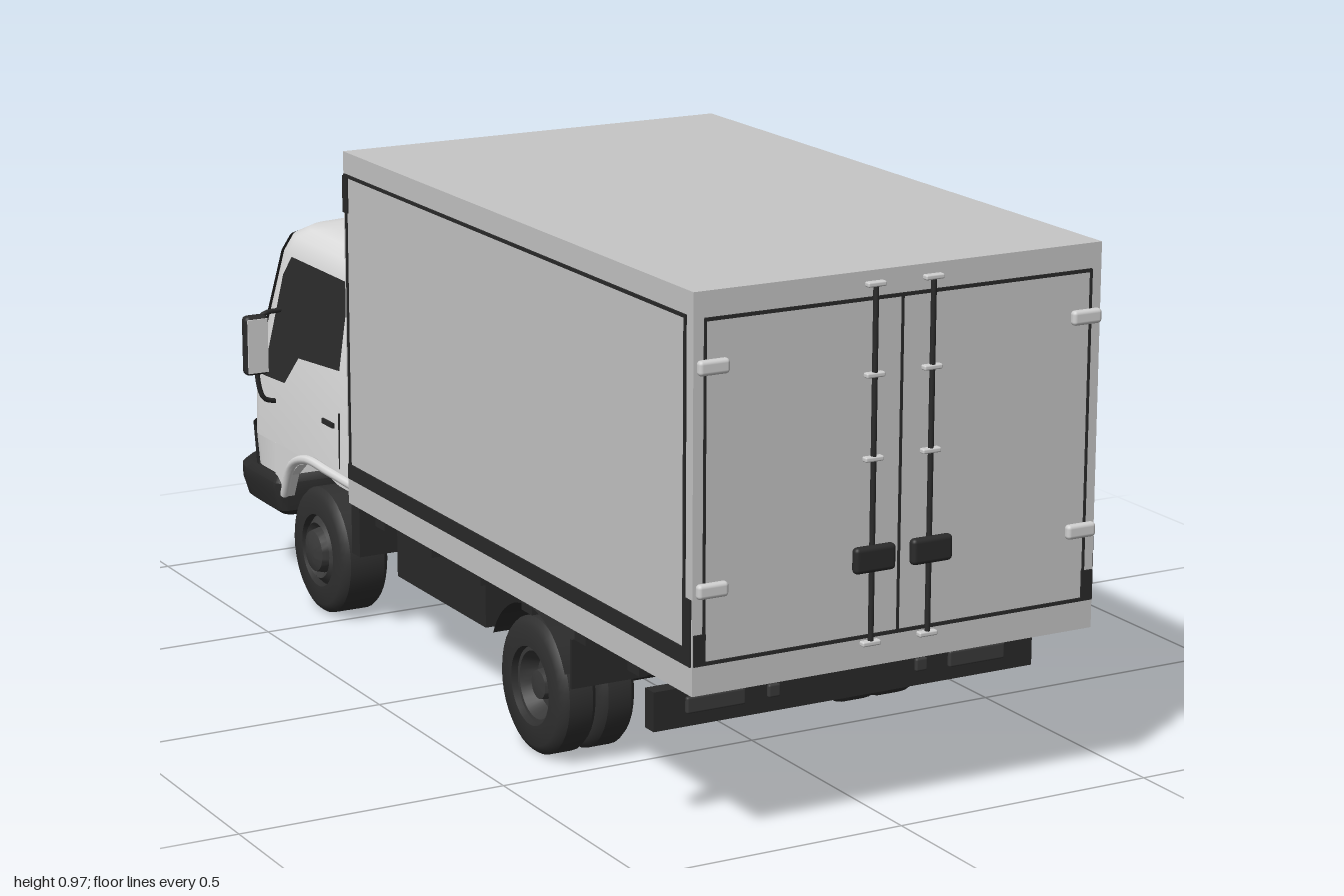
import * as THREE from 'three';
import { toCreasedNormals } from 'three/addons/utils/BufferGeometryUtils.js';
import { RoundedBoxGeometry } from 'three/addons/geometries/RoundedBoxGeometry.js';

const mat = (name, color, side = THREE.FrontSide) => {
  const m = new THREE.MeshStandardMaterial({ color, side });
  m.name = name;
  return m;
};

export function createModel() {
  const root = new THREE.Group();
  root.name = 'boxTruck';
  const cargo = mat('cargoGrey', 0xc6c6c6);
  const paint = mat('cabPaint', 0xdcdcdc, THREE.DoubleSide);
  const glass = mat('darkGlass', 0x2b2b2b, THREE.DoubleSide);
  const dark = mat('darkPlastic', 0x2a2a2a, THREE.DoubleSide);
  const rubber = mat('rubber', 0x303030);
  const hubMat = mat('hubGrey', 0x3a3a3a);
  const metal = mat('paleMetal', 0xd0d0d0);

  const add = (name, geo, material, x = 0, y = 0, z = 0) => {
    const m = new THREE.Mesh(geo, material);
    m.name = name;
    m.position.set(x, y, z);
    root.add(m);
    return m;
  };
  // Box given by its limits on each axis
  const box = (name, material, x0, x1, y0, y1, z0, z1) =>
    add(name, new THREE.BoxGeometry(x1 - x0, y1 - y0, z1 - z0), material, (x0 + x1) / 2, (y0 + y1) / 2, (z0 + z1) / 2);
  const pair = (name, material, x0, x1, ...r) => {
    box(name + 'Left', material, x0, x1, ...r);
    box(name + 'Right', material, -x1, -x0, ...r);
  };
  const tube = (name, material, pts, r) => add(name, new THREE.TubeGeometry(
    new THREE.CatmullRomCurve3(pts.map(p => new THREE.Vector3(...p))), 24, r, 8), material);

  // ---------- Cargo box ----------
  box('cargoBox', cargo, -0.395, 0.395, 0.285, 0.965, -0.345, 0.975);
  for (const s of [-1, 1]) {
    const strip = (name, y0, y1, z0, z1) =>
      box(name, dark, s * 0.395 - 0.003, s * 0.395 + 0.003, y0, y1, z0, z1);
    strip('lowerSideTrim', 0.335, 0.364, -0.34, 0.972);
    strip('upperSideTrim', 0.918, 0.924, -0.34, 0.95);
    strip('rearSideTrim', 0.364, 0.924, 0.947, 0.953);
    strip('rearCornerTrim', 0.364, 0.45, 0.95, 0.972);
    strip('frontSideTrim', 0.364, 0.924, -0.334, -0.329);
    strip('frontCornerTrim', 0.85, 0.92, -0.345, -0.325);
    box('frontFaceTrim', dark, s * 0.372 - 0.012, s * 0.372 + 0.012, 0.4, 0.92, -0.348, -0.342);
  }

  // ---------- Rear doors ----------
  const door = (name, x0, x1, y0, y1) => box(name, dark, x0, x1, y0, y1, 0.972, 0.978);
  door('doorTopGap', -0.375, 0.375, 0.915, 0.921);
  door('doorBottomGap', -0.375, 0.375, 0.336, 0.342);
  door('doorCentreGap', -0.002, 0.002, 0.34, 0.915);
  for (const s of [-1, 1]) {
    door('doorSideGap', s * 0.374 - 0.002, s * 0.374 + 0.002, 0.34, 0.92);
    door('doorCornerGuard', s * 0.382 - 0.011, s * 0.382 + 0.011, 0.336, 0.39);
    add('lockRod', new THREE.CylinderGeometry(0.005, 0.005, 0.62, 10), dark, s * 0.056, 0.635, 0.982);
    for (const y of [0.943, 0.79, 0.647, 0.328])
      add('rodBracket', new RoundedBoxGeometry(0.036, 0.009, 0.014, 2, 0.003), metal, s * 0.056, y, 0.981);
    add('doorHandle', new RoundedBoxGeometry(0.08, 0.046, 0.018, 3, 0.008), dark, s * 0.056, 0.477, 0.988);
    for (const y of [0.84, 0.465])
      add('hinge', new RoundedBoxGeometry(0.058, 0.026, 0.016, 3, 0.007), metal, s * 0.362, y, 0.982);
  }

  // ---------- Cab: lofted from rounded plan sections ----------
  // Section row: [y, half width, front z, back z, front radius, rear radius, bow]
  const section = ([y, w, zf, zb, rf = 0.07, rr = 0.02, bow = 0.025], off = 0) => {
    w += off; zf -= off;
    const half = [[w - rr, zb]];
    for (let i = 1; i <= 4; i++) {
      const a = i / 4 * Math.PI / 2;
      half.push([w - rr + rr * Math.sin(a), zb - rr + rr * Math.cos(a)]);
    }
    for (let i = 0; i <= 6; i++) {
      const a = i / 6 * Math.PI / 2;
      half.push([w - rf + rf * Math.cos(a), zf + bow + rf - rf * Math.sin(a)]);
    }
    for (let i = 5; i >= 1; i--) half.push([(w - rf) * i / 6, zf + bow * (i / 6) ** 2]);
    const other = half.slice().reverse().map(([x, z]) => [-x, z]);
    return [...half, [0, zf], ...other].map(([x, z]) => [x, y, z]);
  };
  // Joins sections; from/to pick an open patch, otherwise closed with caps
  const loft = (rows, off = 0, from = 0, to = 0) => {
    const rings = rows.map(r => section(r, off)), n = rings[0].length, open = to > from;
    const pos = rings.flat(2), idx = [];
    for (let i = 0; i < rings.length - 1; i++)
      for (let j = from; j < (open ? to : n); j++) {
        const a = i * n + j, b = i * n + (j + 1) % n;
        idx.push(a, b, b + n, a, b + n, a + n);
      }
    if (!open) {
      const c = pos.length / 3, top = (rings.length - 1) * n;
      const first = rows[0], last = rows[rows.length - 1];
      pos.push(0, first[0], (first[2] + first[3]) / 2, 0, last[0], (last[2] + last[3]) / 2);
      for (let j = 0; j < n; j++) {
        const k = (j + 1) % n;
        idx.push(c, k, j, c + 1, top + j, top + k);
      }
    }
    const g = new THREE.BufferGeometry();
    g.setAttribute('position', new THREE.Float32BufferAttribute(pos, 3));
    g.setIndex(idx);
    return toCreasedNormals(g, 0.7);
  };
  const cab = [
    [0.30, 0.362, -0.93, -0.375], [0.43, 0.36, -0.925, -0.375], [0.68, 0.325, -0.86, -0.375],
    [0.715, 0.312, -0.843, -0.38], [0.732, 0.29, -0.815, -0.4], [0.739, 0.255, -0.775, -0.43]];
  const rowAt = y => {
    const i = Math.max(1, cab.findIndex(r => r[0] >= y)), a = cab[i - 1], b = cab[i];
    const t = (y - a[0]) / (b[0] - a[0]);
    return a.map((v, k) => v + (b[k] - v) * t);
  };
  add('cabBody', loft(cab), paint);
  const nose = [[0.2, 0.355, -0.925, -0.74], [0.3, 0.362, -0.93, -0.74]];
  add('cabNose', loft(nose), paint);
  add('windshield', loft([0.425, 0.43, 0.56, 0.68, 0.712].map(rowAt), 0.004, 7, 27), glass);
  add('grilleAndHeadlights', loft([[0.235, 0.357, -0.928, -0.74], [0.318, 0.362, -0.93, -0.74]], 0.005, 5, 29), dark);
  box('grilleSlot', dark, -0.13, 0.13, 0.335, 0.345, -0.933, -0.915);
  box('frontPlate', metal, -0.045, 0.045, 0.245, 0.272, -0.941, -0.93);
  add('frontBumper', loft([[0.15, 0.345, -0.96, -0.75, 0.09], [0.165, 0.365, -0.985, -0.73, 0.09],
    [0.2, 0.372, -0.997, -0.73, 0.09], [0.222, 0.372, -0.997, -0.73, 0.09], [0.236, 0.362, -0.982, -0.74, 0.09]]), dark);
  add('roofHatch', new RoundedBoxGeometry(0.195, 0.014, 0.15, 3, 0.006), paint, 0, 0.739, -0.605);
  box('cabFloor', dark, -0.34, 0.34, 0.285, 0.299, -0.9, -0.39);

  // Side windows, door seams, arches and mirrors
  const windowPts = [[-0.47, 0.68], [-0.735, 0.68], [-0.765, 0.64], [-0.805, 0.43], [-0.705, 0.435], [-0.655, 0.495], [-0.47, 0.51]];
  const archPts = [[-0.375, 0.302], [-0.375, 0.285], [-0.46, 0.285], [-0.5, 0.292], [-0.6, 0.297],
    [-0.65, 0.28], [-0.69, 0.25], [-0.715, 0.2], [-0.76, 0.2], [-0.76, 0.302]];
  const outline = pts => new THREE.Shape(pts.map(p => new THREE.Vector2(...p)));
  for (const s of [-1, 1]) {
    const wg = new THREE.ShapeGeometry(outline(windowPts)), p = wg.attributes.position;
    for (let i = 0; i < p.count; i++) {
      const z = p.getX(i), y = p.getY(i);
      p.setXYZ(i, s * (rowAt(y)[1] + 0.004), y, z);
    }
    wg.computeVertexNormals();
    add('sideWindow', wg, glass);
    const arch = add('wheelArchPanel', new THREE.ExtrudeGeometry(outline(archPts), { depth: 0.02, bevelEnabled: false }), paint, s * 0.35);
    arch.rotation.y = -Math.PI / 2;
    arch.position.x = s > 0 ? 0.362 : -0.342;
    tube('archFlare', paint, [[s * 0.362, 0.3, -0.39], [s * 0.366, 0.305, -0.5], [s * 0.368, 0.305, -0.6],
      [s * 0.368, 0.275, -0.67], [s * 0.364, 0.205, -0.715]], 0.009);
    box('doorRearSeam', dark, s * 0.361 - 0.002, s * 0.361 + 0.002, 0.32, 0.43, -0.457, -0.454);
    box('doorHandleRecess', dark, s * 0.362 - 0.003, s * 0.362 + 0.003, 0.395, 0.405, -0.53, -0.48);
    add('mirrorHousing', new RoundedBoxGeometry(0.05, 0.12, 0.026, 3, 0.01), dark, s * 0.411, 0.512, -0.735);
    add('mirrorGlass', new THREE.BoxGeometry(0.042, 0.108, 0.004), metal, s * 0.411, 0.512, -0.7215);
    tube('mirrorArm', dark, [[s * 0.345, 0.57, -0.76], [s * 0.39, 0.565, -0.75], [s * 0.405, 0.5, -0.745],
      [s * 0.39, 0.4, -0.75], [s * 0.355, 0.385, -0.76]], 0.005);
    box('cabMudflap', dark, s * 0.3 - 0.055, s * 0.3 + 0.055, 0.16, 0.29, -0.42, -0.385);
  }
  for (const x of [-0.13, 0, 0.12]) box('cabRearStrut', dark, x - 0.022, x + 0.022, 0.27, 0.36, -0.378, -0.34);

  // ---------- Chassis ----------
  pair('chassisRail', dark, 0.1, 0.145, 0.215, 0.275, -0.88, 0.78);
  box('engine', dark, -0.16, 0.16, 0.16, 0.29, -0.85, -0.42);
  pair('bodyRunner', dark, 0.1, 0.16, 0.27, 0.287, -0.33, 0.76);
  for (const z of [-0.25, -0.05, 0.15, 0.35, 0.55, 0.74])
    box('crossBearer', dark, -0.375, 0.375, 0.255, 0.287, z - 0.02, z + 0.02);
  for (const z of [-0.3, 0, 0.2, 0.6]) box('crossMember', dark, -0.12, 0.12, 0.22, 0.26, z - 0.015, z + 0.015);
  box('rearBumperBeam', dark, -0.38, 0.38, 0.175, 0.245, 0.79, 0.82);
  pair('rearBumperBracket', dark, 0.11, 0.14, 0.2, 0.265, 0.72, 0.8);
  for (const s of [-1, 1]) {
    add('tailLamp', new RoundedBoxGeometry(0.115, 0.03, 0.01, 2, 0.004), hubMat, s * 0.262, 0.213, 0.822);
    add('reflector', new RoundedBoxGeometry(0.024, 0.024, 0.01, 2, 0.004), hubMat, s * 0.148, 0.213, 0.822);
    for (const z of [0.37, -0.575])
      tube('leafSpring', dark, [[s * 0.17, 0.215, z - 0.17], [s * 0.17, 0.155, z], [s * 0.17, 0.215, z + 0.17]], 0.014);
  }
  box('fuelTank', dark, -0.33, -0.16, 0.15, 0.255, -0.27, 0.1);
  const shaft = add('driveShaft', new THREE.CylinderGeometry(0.014, 0.014, 0.8, 10), dark, 0, 0.165, -0.03);
  shaft.rotation.x = Math.PI / 2 - 0.08;
  const silencer = add('silencer', new THREE.LatheGeometry([[0, -0.155], [0.03, -0.155], [0.038, -0.145],
    [0.038, 0.145], [0.03, 0.155], [0, 0.155]].map(p => new THREE.Vector2(...p)), 24), metal, 0.26, 0.195, -0.075);
  silencer.geometry = toCreasedNormals(silencer.geometry, 0.7);
  silencer.rotation.x = Math.PI / 2;
  tube('exhaustFrontPipe', metal, [[0.26, 0.2, -0.22], [0.25, 0.225, -0.27], [0.2, 0.24, -0.33]], 0.014);
  tube('exhaustTailPipe', metal, [[0.26, 0.195, 0.07], [0.26, 0.19, 0.12], [0.28, 0.175, 0.17]], 0.013);

  // ---------- Axles and wheels ----------
  for (const z of [-0.575, 0.37]) {
    const axle = add('axle', new THREE.CylinderGeometry(0.022, 0.022, 0.56, 12), dark, 0, 0.125, z);
    axle.rotation.z = Math.PI / 2;
  }
  add('differential', new THREE.SphereGeometry(0.065, 20, 14), dark, 0, 0.157, 0.37).scale.set(1.1, 0.95, 1);
  const lathe = pts => toCreasedNormals(new THREE.LatheGeometry(pts.map(p => new THREE.Vector2(...p)), 36), 0.6);
  const tyre = h => lathe([[0.072, -h], [0.108, -h], [0.119, -h + 0.006], [0.125, -h + 0.014],
    [0.125, h - 0.014], [0.119, h - 0.006], [0.108, h], [0.072, h], [0.068, h - 0.02], [0.068, -h + 0.02], [0.072, -h]]);
  const frontHub = [[0, -0.03], [0.07, -0.03], [0.07, 0.035], [0.055, 0.05], [0.045, 0.04], [0.04, 0.058], [0.022, 0.065], [0, 0.065]];
  const rearHub = [[0, -0.03], [0.07, -0.03], [0.07, 0.025], [0.062, 0.025], [0.05, -0.005], [0.03, -0.005], [0.026, 0.02], [0, 0.024]];
  const wheelPart = (name, geo, material, x, z, s) => {
    add(name, geo, material, s * x, 0.125, z).rotation.z = -s * Math.PI / 2;
  };
  for (const s of [-1, 1]) {
    wheelPart('frontTyre', tyre(0.05), rubber, 0.308, -0.575, s);
    wheelPart('frontHub', lathe(frontHub), hubMat, 0.308, -0.575, s);
    for (const x of [0.266, 0.343]) {
      wheelPart('rearTyre', tyre(0.037), rubber, x, 0.37, s);
      wheelPart('rearHub', lathe(rearHub), hubMat, x, 0.37, s);
    }
    // Curved rear mudguard
    const guard = add('rearMudguard', new THREE.CylinderGeometry(0.15, 0.15, 0.155, 24, 1, true, -1.15, 2.3), dark, s * 0.305, 0.125, 0.37);
    guard.rotation.set(-Math.PI / 2, 0, Math.PI / 2, 'XYZ');
    box('rearMudflap', dark, s * 0.305 - 0.075, s * 0.305 + 0.075, 0.165, 0.255, 0.522, 0.528);
  }
  return root;
}
